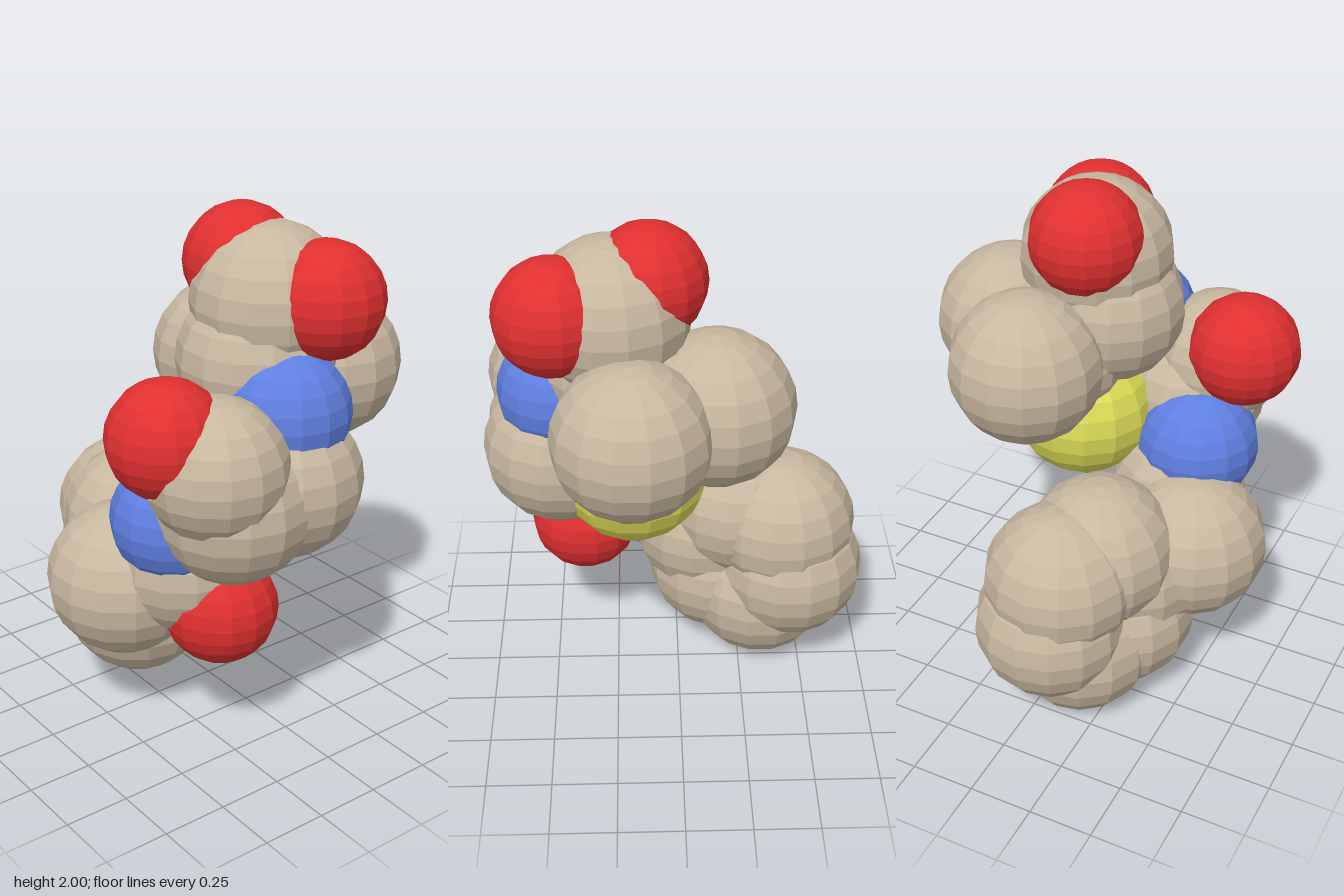
import * as THREE from 'three';

// Atom kinds: colour and default radius
const KINDS = {
  carbon: { color: 0xc8b8a0, radius: 0.295 },
  oxygen: { color: 0xe03030, radius: 0.218 },
  nitrogen: { color: 0x5f7fe0, radius: 0.24 },
  sulfur: { color: 0xdcdc58, radius: 0.285 },
};

// Each group of atoms: kind, x, y, z and an optional radius
const GROUPS = {
  benzeneRing: [
    ['carbon', -0.12, 0.54, 0.235],
    ['carbon', -0.25, 0.68, 0.165],
    ['carbon', -0.42, 0.635, 0.085],
    ['carbon', -0.455, 0.44, 0.06],
    ['carbon', -0.34, 0.3, 0.125],
    ['carbon', -0.18, 0.355, 0.22],
  ],
  amideLink: [
    ['carbon', 0.035, 0.615, 0.425],
    ['carbon', 0.225, 0.72, 0.285, 0.27],
    ['oxygen', 0.375, 0.575, 0.228],
    ['nitrogen', 0.255, 0.925, 0.345],
  ],
  carbonylBranch: [
    ['carbon', 0.45, 1.027, 0.23],
    ['carbon', 0.48, 1.195, 0.33, 0.264],
    ['oxygen', 0.38, 1.31, 0.468],
  ],
  sulfurRing: [
    ['carbon', 0.45, 1.06, 0],
    ['nitrogen', 0.44, 1.315, -0.015],
    ['carbon', 0.235, 1.45, -0.037],
    ['carbon', 0.095, 1.3, -0.205],
    ['sulfur', 0.172, 1.025, -0.11],
  ],
  methylPair: [
    ['carbon', -0.135, 1.335, -0.2],
    ['carbon', 0.175, 1.335, -0.425],
  ],
  acidGroup: [
    ['carbon', 0.245, 1.662, -0.093],
    ['oxygen', 0.108, 1.782, -0.07],
    ['oxygen', 0.45, 1.7, -0.18],
  ],
};

export function createModel() {
  const model = new THREE.Group();
  model.name = 'molecule';

  // One faceted unit sphere shared by all atoms, one material per kind
  const sphere = new THREE.SphereGeometry(1, 14, 12);
  const materials = {};
  for (const [kind, { color }] of Object.entries(KINDS)) {
    materials[kind] = new THREE.MeshStandardMaterial({ color, flatShading: true });
  }

  for (const [name, atoms] of Object.entries(GROUPS)) {
    const group = new THREE.Group();
    group.name = name;
    for (const [kind, x, y, z, radius = KINDS[kind].radius] of atoms) {
      const atom = new THREE.Mesh(sphere, materials[kind]);
      atom.name = kind + 'Atom';
      atom.position.set(x, y, z);
      atom.scale.setScalar(radius);
      group.add(atom);
    }
    model.add(group);
  }
  return model;
}
